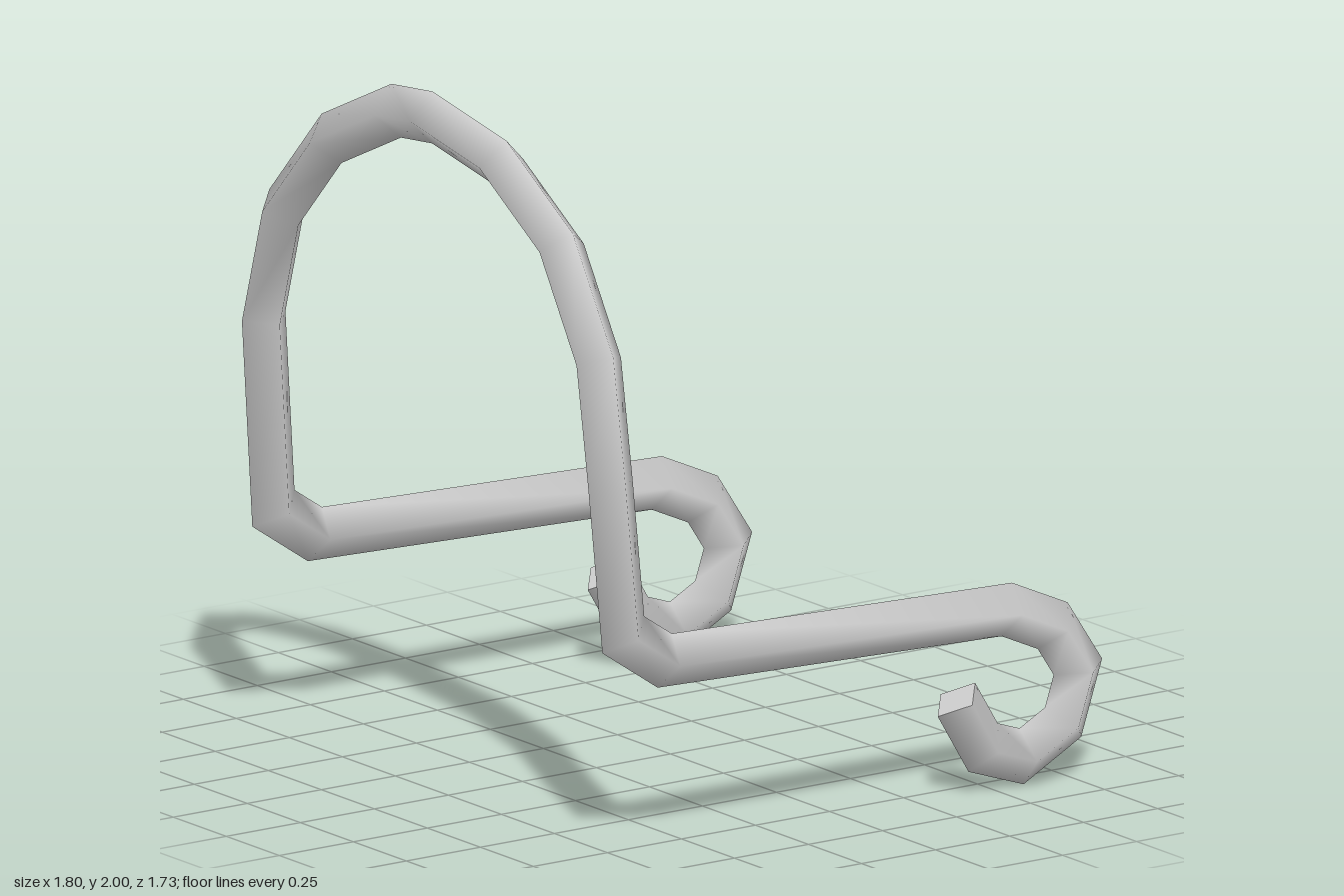
import * as THREE from 'three';

const R = 0.074; // half diagonal of the square bar
const SIDE_X = 0.825;

// Side profile (z, y) from the hook tip to the foot of the hoop
const hook = [
  [-0.375, 0.275], [-0.465, 0.125], [-0.595, 0.08], [-0.735, 0.155], [-0.785, 0.305],
  [-0.7, 0.435], [-0.545, 0.505], [0.61, 0.54], [0.75, 0.635],
];
// Hoop (x, y) in the front plane
const hoop = [
  [-0.815, 1.19], [-0.72, 1.52], [-0.495, 1.765], [-0.19, 1.91], [-0.02, 1.928],
  [0.305, 1.868], [0.59, 1.69], [0.765, 1.405], [0.82, 1.07],
];

function centreLine() {
  const side = (x) => hook.map(([z, y]) => new THREE.Vector3(x, y, z));
  return [
    ...side(-SIDE_X),
    ...hoop.map(([x, y]) => new THREE.Vector3(x, y, 0.79)),
    ...side(SIDE_X).reverse(),
  ];
}

// Carry a square section along the path, mitring it at every bend
function mitredRings(path) {
  const dirs = path.slice(1).map((p, i) => p.clone().sub(path[i]).normalize());
  const u = new THREE.Vector3(1, 0, 0);
  const v = dirs[0].clone().cross(u).normalize();
  let ring = [[1, 0], [0, 1], [-1, 0], [0, -1]].map(([a, b]) =>
    path[0].clone().addScaledVector(u, a * R).addScaledVector(v, b * R));
  const rings = [ring];
  for (let i = 1; i < path.length; i++) {
    const d = dirs[i - 1];
    const n = d.clone().add(dirs[i] ?? d).normalize();
    ring = ring.map((c) =>
      c.clone().addScaledVector(d, path[i].clone().sub(c).dot(n) / d.dot(n)));
    rings.push(ring);
  }
  return rings;
}

function geometryFrom(points, index) {
  const g = new THREE.BufferGeometry().setFromPoints(points);
  g.setIndex(index);
  g.computeVertexNormals();
  return g;
}

export function createModel() {
  const group = new THREE.Group();
  group.name = 'bentBarHanger';
  const material = new THREE.MeshStandardMaterial({ color: 0xcccccc });
  const add = (name, geometry) => {
    const mesh = new THREE.Mesh(geometry, material);
    mesh.name = name;
    group.add(mesh);
  };

  // Continuous bar: hook, arm, hoop, arm, hook
  const rings = mitredRings(centreLine());
  const index = [];
  for (let i = 0; i < rings.length - 1; i++) {
    for (let j = 0; j < 4; j++) {
      const a = i * 4 + j, b = i * 4 + (j + 1) % 4;
      index.push(a, b, b + 4, a, b + 4, a + 4);
    }
  }
  add('bentBar', geometryFrom(rings.flat(), index));

  // Flat ends of the hooks
  add('rightHookEnd', geometryFrom(rings[0], [0, 2, 1, 0, 3, 2]));
  add('leftHookEnd', geometryFrom(rings[rings.length - 1], [0, 1, 2, 0, 2, 3]));
  return group;
}
